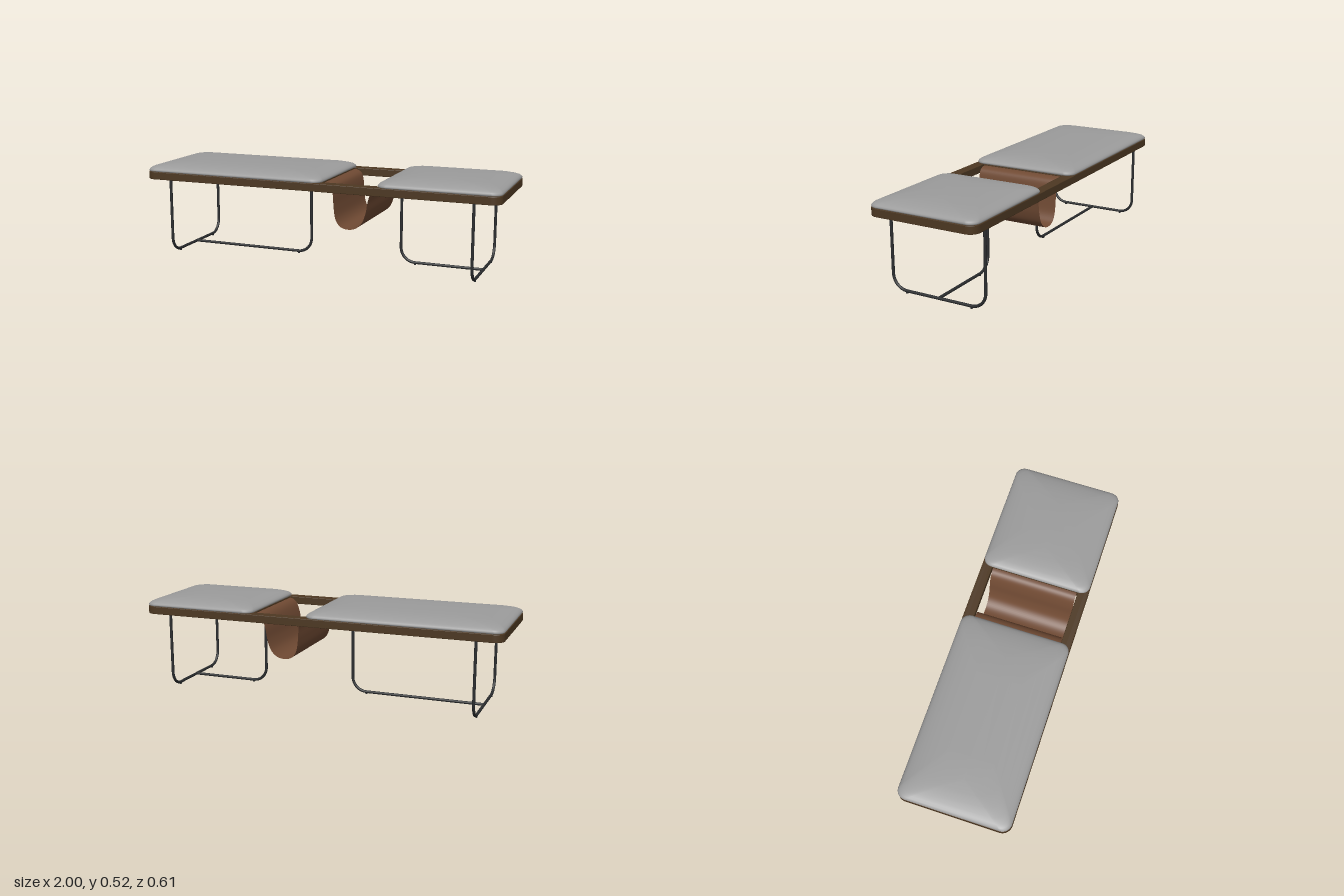
import * as THREE from 'three';

const mat = (name, color) => {
  const m = new THREE.MeshStandardMaterial({ color });
  m.name = name;
  return m;
};

// Rounded rectangle traced counter-clockwise, as a shape or a hole
function roundedRect(path, x0, x1, y0, y1, r) {
  const q = Math.PI / 2;
  path.moveTo(x0 + r, y0);
  path.absarc(x1 - r, y0 + r, r, -q, 0);
  path.absarc(x1 - r, y1 - r, r, 0, q);
  path.absarc(x0 + r, y1 - r, r, q, 2 * q);
  path.absarc(x0 + r, y0 + r, r, 2 * q, 3 * q);
  path.closePath();
  return path;
}

// Domed pad: rounded-rectangle rings that step inward as they rise
function cushionGeometry(x0, x1, halfZ) {
  const rings = [ // inset, height
    [0.28, 0.466], [0.012, 0.466], [0.002, 0.469], [0, 0.475], [0.003, 0.482],
    [0.01, 0.489], [0.022, 0.495], [0.045, 0.502], [0.08, 0.508], [0.12, 0.5125],
    [0.18, 0.5155], [0.24, 0.5168], [0.298, 0.517],
  ];
  const cx = (x0 + x1) / 2, n = 12, pos = [], index = [];
  const count = 4 * (n + 1);
  rings.forEach(([inset, y]) => {
    const hx = (x1 - x0) / 2 - inset, hz = halfZ - inset;
    const r = Math.min(0.05 + inset * 0.4, hx, hz);
    for (let c = 0; c < 4; c++) {
      const sx = c === 0 || c === 3 ? 1 : -1, sz = c < 2 ? 1 : -1;
      for (let i = 0; i <= n; i++) {
        const a = (c + i / n) * Math.PI / 2;
        pos.push(cx + sx * (hx - r) + r * Math.cos(a), y, sz * (hz - r) + r * Math.sin(a));
      }
    }
  });
  for (let k = 0; k < rings.length - 1; k++) {
    for (let i = 0; i < count; i++) {
      const a = k * count + i, b = k * count + (i + 1) % count;
      index.push(a, a + count, b, b, a + count, b + count);
    }
  }
  // Close the narrow crown
  const top = (rings.length - 1) * count;
  for (let i = 1; i < count - 1; i++) index.push(top, top + i + 1, top + i);
  const g = new THREE.BufferGeometry();
  g.setAttribute('position', new THREE.Float32BufferAttribute(pos, 3));
  g.setIndex(index);
  g.computeVertexNormals();
  return g;
}

// Round tube through points, with each inner corner bent to radius r
function bentTube(points, r, radius) {
  const path = new THREE.CurvePath();
  const p = points.map(a => new THREE.Vector3(...a));
  let from = p[0];
  for (let i = 1; i < p.length - 1; i++) {
    const a = p[i].clone().add(p[i - 1].clone().sub(p[i]).setLength(r));
    const b = p[i].clone().add(p[i + 1].clone().sub(p[i]).setLength(r));
    path.add(new THREE.LineCurve3(from, a));
    path.add(new THREE.CubicBezierCurve3(a, a.clone().lerp(p[i], 0.552), b.clone().lerp(p[i], 0.552), b));
    from = b;
  }
  path.add(new THREE.LineCurve3(from, p[p.length - 1]));
  return new THREE.TubeGeometry(path, 90, radius, 12);
}

export function createModel() {
  const model = new THREE.Group();
  model.name = 'bench';
  const wood = mat('dark wood', 0x4d3822);
  const fabric = mat('grey fabric', 0x9c9c9c);
  const leather = mat('brown leather', 0x704a33);
  leather.side = THREE.DoubleSide;
  const metal = mat('black metal', 0x2a2c2e);

  const add = (parent, name, geometry, material) => {
    const m = new THREE.Mesh(geometry, material);
    m.name = name;
    parent.add(m);
    return m;
  };

  // Wooden deck with an opening for the sling
  const b = 0.003;
  const outline = roundedRect(new THREE.Shape(), -1 + b, 1 - b, -0.303 + b, 0.303 - b, 0.05);
  outline.holes.push(roundedRect(new THREE.Path(), 0.04, 0.36, -0.248, 0.248, 0.004));
  const deck = new THREE.ExtrudeGeometry(outline, {
    depth: 0.043 - 2 * b, bevelThickness: b, bevelSize: b, bevelSegments: 2, curveSegments: 12,
  });
  deck.rotateX(-Math.PI / 2).translate(0, 0.425 + b, 0);
  add(model, 'deck', deck, wood);

  // Seat pads
  add(model, 'longCushion', cushionGeometry(-0.999, 0.048, 0.302), fabric);
  add(model, 'shortCushion', cushionGeometry(0.355, 0.999, 0.302), fabric);

  // Hanging magazine sling, a thin sheet swept along z
  const sag = new THREE.SplineCurve([
    [0.035, 0.461], [0.065, 0.458], [0.09, 0.44], [0.101, 0.40], [0.105, 0.34], [0.115, 0.275],
    [0.14, 0.236], [0.18, 0.223], [0.225, 0.23], [0.262, 0.262], [0.283, 0.315], [0.295, 0.38],
    [0.312, 0.43], [0.335, 0.455], [0.365, 0.461],
  ].map(([x, y]) => new THREE.Vector2(x, y))).getPoints(70);
  const sheet = new THREE.PlaneGeometry(1, 0.48, sag.length - 1, 1);
  const sp = sheet.attributes.position;
  for (let i = 0; i < sp.count; i++) {
    const s = sag[i % sag.length];
    sp.setXYZ(i, s.x, s.y, -sp.getY(i));
  }
  sheet.computeVertexNormals();
  add(model, 'sling', sheet, leather);

  // Three-legged tube bases: a cross hoop at the end and a bent stem inward
  const tube = 0.0078, low = 0.0125, top = 0.43;
  for (const [name, endX, stemX] of [['longBase', -0.86, -0.122], ['shortBase', 0.86, 0.405]]) {
    const base = new THREE.Group();
    base.name = name;
    model.add(base);
    add(base, 'endHoop', bentTube([
      [endX, top, -0.27], [endX, low, -0.27], [endX, low, 0.27], [endX, top, 0.27],
    ], 0.08, tube), metal);
    add(base, 'stem', bentTube([[endX, low, 0], [stemX, low, 0], [stemX, top, 0]], 0.08, tube), metal);
    // Small glides under the bars
    const inner = stemX + Math.sign(endX) * 0.08;
    for (const [x, z] of [[endX, -0.19], [endX, 0.19], [inner, 0]]) {
      const glide = add(base, 'glide', new THREE.CylinderGeometry(0.006, 0.006, 0.01, 12), metal);
      glide.position.set(x, 0.005, z);
    }
  }
  return model;
}
